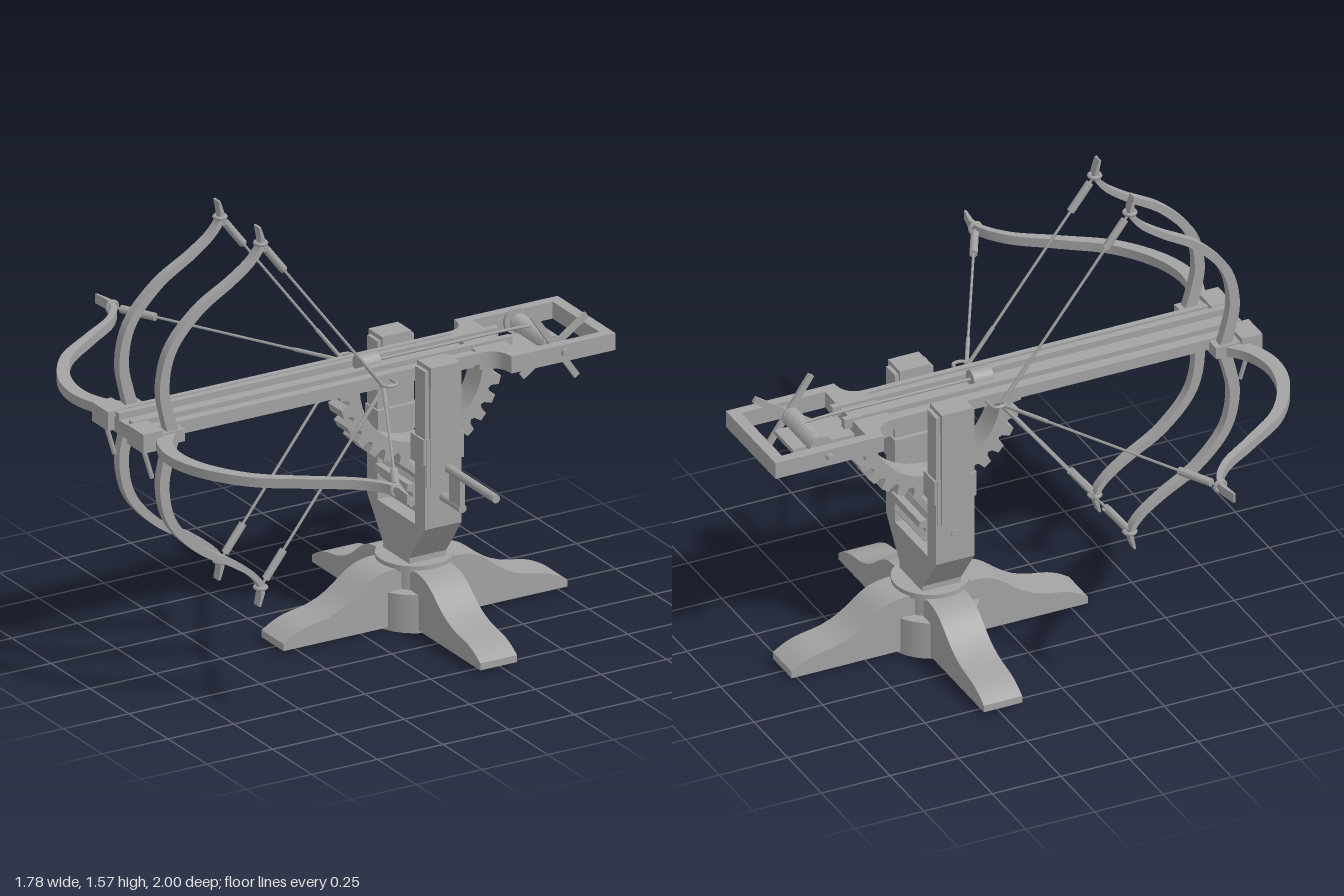
import * as THREE from 'three';
import { toCreasedNormals } from 'three/addons/utils/BufferGeometryUtils.js';

const gray = new THREE.MeshStandardMaterial({ color: 0xa3a3a3 });
gray.name = 'plain gray';

export function createModel() {
  const root = new THREE.Group();
  const CX = 0.235, CY = 0.895; // post centre in x, stock height

  const add = (name, geo, parent = root) => {
    const m = new THREE.Mesh(geo, gray);
    m.name = name;
    parent.add(m);
    return m;
  };
  // box given by its min and max on each axis
  const box = (name, x0, x1, y0, y1, z0, z1, parent) => add(name,
    new THREE.BoxGeometry(x1 - x0, y1 - y0, z1 - z0)
      .translate((x0 + x1) / 2, (y0 + y1) / 2, (z0 + z1) / 2), parent);
  const shapeOf = pts => new THREE.Shape(pts.map(p => new THREE.Vector2(p[0], p[1])));
  // extrusion centred on z
  const slab = (shape, depth) => toCreasedNormals(
    new THREE.ExtrudeGeometry(shape, { depth, bevelEnabled: false, curveSegments: 10 })
      .translate(0, 0, -depth / 2), 0.6);
  const rod = (name, a, b, r, parent, sides = 10) => {
    const p = new THREE.Vector3(...a), q = new THREE.Vector3(...b);
    const m = add(name, new THREE.CylinderGeometry(r, r, p.distanceTo(q), sides), parent);
    m.position.copy(p).add(q).multiplyScalar(0.5);
    m.quaternion.setFromUnitVectors(new THREE.Vector3(0, 1, 0), q.sub(p).normalize());
    return m;
  };
  const tube = (name, pts, r, parent) => add(name, new THREE.TubeGeometry(
    new THREE.CatmullRomCurve3(pts.map(p => new THREE.Vector3(...p))), 20, r, 6), parent);

  // Cross-shaped foot
  const foot = new THREE.Group();
  foot.name = 'foot';
  foot.position.x = CX;
  root.add(foot);
  const leg = new THREE.Shape();
  leg.moveTo(0, 0.01);
  leg.lineTo(0.54, 0.01);
  leg.lineTo(0.54, 0.035);
  leg.bezierCurveTo(0.46, 0.09, 0.42, 0.075, 0.36, 0.095);
  leg.bezierCurveTo(0.25, 0.13, 0.24, 0.205, 0.13, 0.21);
  leg.lineTo(0, 0.21);
  for (let i = 0; i < 4; i++) add('footLeg', slab(leg, 0.14), foot).rotation.y = i * Math.PI / 2;
  const drum = (name, r, y0, y1) =>
    add(name, new THREE.CylinderGeometry(r, r, y1 - y0, 32), foot).position.y = (y0 + y1) / 2;
  drum('hub', 0.16, 0, 0.135);
  drum('hubCore', 0.115, 0.13, 0.205);
  drum('collar', 0.13, 0.203, 0.225);

  // Forked post
  const fork = shapeOf([[-0.085, 0.22], [0.085, 0.22], [0.085, 0.245], [0.185, 0.38], [0.185, 0.94],
    [0.12, 0.94], [0.12, 0.38], [-0.12, 0.38], [-0.12, 0.94], [-0.185, 0.94], [-0.185, 0.38], [-0.085, 0.245]]);
  add('forkedPost', slab(fork, 0.14).rotateY(Math.PI / 2)).position.x = CX;
  for (const s of [-1, 1]) {
    const side = new THREE.Group();
    side.name = 'forkFittings';
    root.add(side);
    const fit = (name, x, y0, y1, za, zb) =>
      box(name, CX - x, CX + x, y0, y1, Math.min(s * za, s * zb), Math.max(s * za, s * zb), side);
    fit('armPlate', 0.054, 0.53, 0.945, 0.17, 0.195);
    fit('armCap', 0.056, 0.88, 0.955, 0.112, 0.2);
    fit('armClamp', 0.077, 0.61, 0.7, 0.105, 0.187);
    fit('armLowerPlate', 0.067, 0.53, 0.7, 0.18, 0.19);
  }

  // Toothed elevation arc and its pinion
  const arc = new THREE.Shape();
  const teeth = 15;
  for (let i = 0; i < teeth; i++) {
    for (const [f, r] of [[0, 0.31], [0.45, 0.31], [0.55, 0.282], [0.72, 0.274], [0.9, 0.282]]) {
      if (i === teeth - 1 && f > 0.5) continue;
      const a = Math.PI + (i + f) / (teeth - 0.55) * Math.PI;
      arc[i + f ? 'lineTo' : 'moveTo'](r * Math.cos(a), r * Math.sin(a));
    }
  }
  arc.lineTo(0.235, 0);
  arc.absarc(0, 0, 0.235, 2 * Math.PI, Math.PI, true);
  add('elevationArc', slab(arc, 0.09)).position.set(CX, 0.867, 0);
  const pin = [];
  for (let i = 0; i < 9; i++)
    for (const [f, r] of [[0, 0.093], [0.35, 0.093], [0.5, 0.07], [0.85, 0.07]]) {
      const a = (i + f) / 9 * Math.PI * 2;
      pin.push([r * Math.cos(a), r * Math.sin(a)]);
    }
  add('pinion', slab(shapeOf(pin), 0.21)).position.set(CX, 0.485, 0);
  rod('crankShaft', [CX, 0.485, -0.19], [CX, 0.485, 0.31], 0.015);
  box('crankArm', CX - 0.011, CX + 0.009, 0.475, 0.6, 0.24, 0.31);
  rod('crankHandle', [CX, 0.597, 0.22], [CX, 0.597, 0.525], 0.015, root, 14);

  // Grooved stock
  const half = [[0.07, 0.862], [0.07, 0.885], [0.105, 0.885], [0.105, 0.925], [0.085, 0.925], [0.085, 0.917],
    [0.055, 0.917], [0.055, 0.935], [0.032, 0.935], [0.032, 0.912]];
  const section = shapeOf([...half, ...half.map(([x, y]) => [-x, y]).reverse()]);
  add('stock', slab(section, 1.4).rotateY(Math.PI / 2)).position.x = -0.17;
  for (const s of [-1, 1]) {
    box('stockRail', -0.87, 0.575, 0.9, 0.935, s * 0.044 - 0.011, s * 0.044 + 0.011);
    box('headBlock', -0.895, -0.82, 0.868, 0.935, s * 0.113 - 0.052, s * 0.113 + 0.052);
    box('limbBracket', -0.83, -0.73, 0.875, 0.918, s * 0.125 - 0.03, s * 0.125 + 0.03);
    rod('headStay', [-0.872, 0.875, s * 0.12], [-0.835, 0.755, s * 0.12], 0.009, root, 4);
  }

  // Rear frame
  const frame = new THREE.Shape();
  frame.moveTo(0.42, -0.105);
  frame.quadraticCurveTo(0.495, -0.105, 0.495, -0.185);
  frame.lineTo(0.89, -0.185);
  frame.lineTo(0.89, 0.185);
  frame.lineTo(0.495, 0.185);
  frame.quadraticCurveTo(0.495, 0.105, 0.42, 0.105);
  frame.holes.push(new THREE.Path([[0.545, -0.15], [0.545, 0.15], [0.85, 0.15], [0.85, -0.15]]
    .map(p => new THREE.Vector2(...p))));
  add('rearFrame', slab(frame, 0.06).rotateX(Math.PI / 2)).position.y = CY;
  box('frameTongue', 0.53, 0.77, 0.866, 0.882, -0.07, 0.07);

  // Winch with rope coil and cross handles
  const wx = 0.695, wy = 0.9;
  rod('winchAxle', [wx, wy, -0.205], [wx, wy, 0.2], 0.013);
  rod('winchDrum', [wx, wy, -0.125], [wx, wy, 0.115], 0.022, root, 16);
  for (let i = 0; i < 14; i++)
    add('ropeTurn', new THREE.TorusGeometry(0.025, 0.008, 6, 18)).position.set(wx, wy, -0.105 + i * 0.0155);
  rod('winchCollar', [wx, wy, -0.132], [wx, wy, -0.12], 0.045, root, 18);
  for (let i = 0; i < 2; i++) {
    const bar = add('winchHandle', new THREE.BoxGeometry(0.3, 0.022, 0.012));
    bar.position.set(wx, wy, 0.12 + i * 0.002);
    bar.rotation.z = 0.6 + i * Math.PI / 2;
  }

  // Sliding catch and draw rope
  rod('catch', [0.018, 0.932, 0], [0.09, 0.932, 0], 0.033, root, 16);
  tube('drawRope', [[0.08, 0.934, 0], [0.35, 0.934, 0], [0.6, 0.934, 0], [0.695, 0.93, 0]], 0.005);
  for (const s of [-1, 1])
    tube('stringHook', [[0.03, 0.9, s * 0.125], [0.04, 0.905, s * 0.155], [0.075, 0.905, s * 0.155],
      [0.082, 0.905, s * 0.125], [0.08, 0.905, s * 0.09]], 0.006);

  // Tapered recurve limb with its string, drawn in the x/y plane
  const limb = (pts, w0, nock, pos, turn) => {
    const g = new THREE.Group();
    g.name = 'bowLimb';
    g.position.set(...pos);
    g.rotation.x = turn;
    root.add(g);
    const curve = new THREE.CatmullRomCurve3(pts.map(p => new THREE.Vector3(p[0], p[1], 0)));
    const left = [], right = [], N = 36;
    for (let i = 0; i <= N; i++) {
      const t = i / N, p = curve.getPointAt(t), d = curve.getTangentAt(t);
      const w = (t > 0.93 ? 0.016 - 0.12 * (t - 0.93) : w0 + (0.016 - w0) * t) / 2;
      left.push([p.x - d.y * w, p.y + d.x * w]);
      right.unshift([p.x + d.y * w, p.y - d.x * w]);
    }
    add('limb', slab(shapeOf([...right, ...left]), 0.034), g);
    const a = new THREE.Vector3(pts.at(-2)[0], pts.at(-2)[1], 0);
    const b = new THREE.Vector3(nock[0], nock[1], 0);
    const at = t => a.clone().lerp(b, t).toArray();
    rod('bowString', at(0), at(1), 0.005, g, 6);
    rod('tipServing', at(0.04), at(0.19), 0.014, g);
    rod('nockServing', at(0.8), at(1), 0.007, g, 8);
    const knob = add('stringLoop', new THREE.TorusGeometry(0.019, 0.007, 6, 14), g);
    knob.position.copy(a);
    knob.rotation.x = Math.PI / 2;
  };
  const flat = [[-0.79, 0.14], [-0.835, 0.2], [-0.862, 0.3], [-0.84, 0.43], [-0.74, 0.59], [-0.58, 0.71],
    [-0.44, 0.81], [-0.375, 0.91], [-0.383, 1.0]];
  const upright = [[-0.765, 0], [-0.785, 0.07], [-0.803, 0.17], [-0.775, 0.3], [-0.67, 0.42], [-0.535, 0.503],
    [-0.46, 0.56], [-0.428, 0.61], [-0.44, 0.672]];
  for (const s of [-1, 1]) {
    limb(flat, 0.056, [0.035, 0.14], [0, CY, 0], s * Math.PI / 2);
    for (const z of [-0.13, 0.13])
      limb(upright, 0.042, [0.035, 0.008], [0, CY, z], s > 0 ? 0 : Math.PI);
  }
  return root;
}
